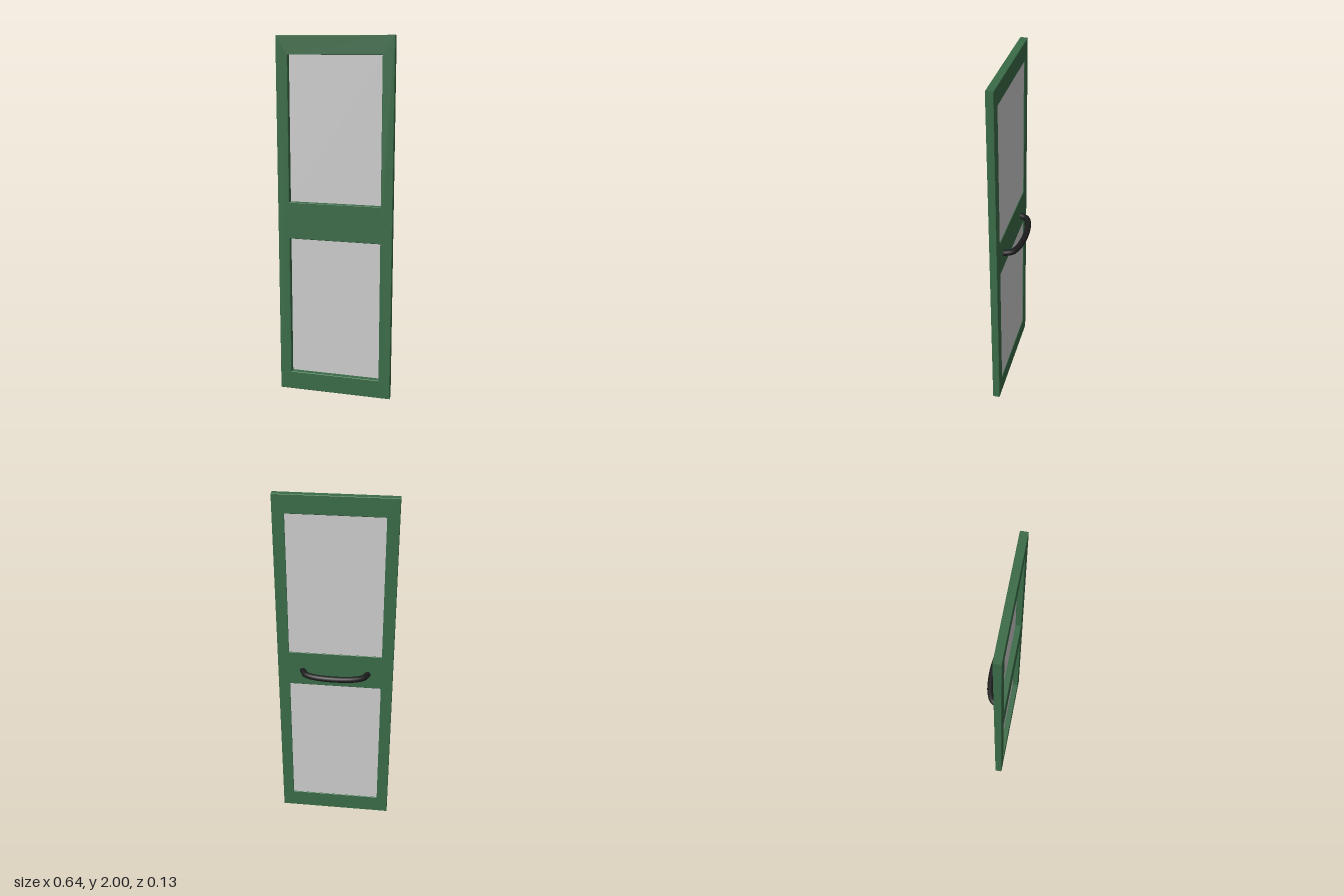
import * as THREE from 'three';

// Closed rectangle between two corners
function rect(PathType, x0, y0, x1, y1) {
  const p = new PathType();
  p.moveTo(x0, y0);
  p.lineTo(x1, y0);
  p.lineTo(x1, y1);
  p.lineTo(x0, y1);
  p.closePath();
  return p;
}

export function createModel() {
  const group = new THREE.Group();
  const green = new THREE.MeshStandardMaterial({ color: 0x3a6b47 });
  const grey = new THREE.MeshStandardMaterial({ color: 0xcccccc });
  const black = new THREE.MeshStandardMaterial({ color: 0x1c1c1c });

  const add = (name, geometry, material) => {
    const mesh = new THREE.Mesh(geometry, material);
    mesh.name = name;
    group.add(mesh);
    return mesh;
  };

  // Door frame with two openings and a fine edge bevel
  const b = 0.002;
  const openings = [
    { name: 'lowerPanel', y0: 0.105, y1: 0.9 },
    { name: 'upperPanel', y0: 1.105, y1: 1.9 },
  ];
  const halfOpening = 0.257;
  const outline = rect(THREE.Shape, -0.321 + b, b, 0.321 - b, 2 - b);
  for (const o of openings) {
    outline.holes.push(rect(THREE.Path, -halfOpening - b, o.y0 - b, halfOpening + b, o.y1 + b));
  }
  const frame = new THREE.ExtrudeGeometry(outline, {
    depth: 0.04 - 2 * b, bevelEnabled: true, bevelSize: b, bevelThickness: b, bevelSegments: 1,
  });
  frame.translate(0, 0, 0.025 + b);
  add('doorFrame', frame, green);

  // Thin panels set close to the back of the frame
  for (const o of openings) {
    const panel = add(o.name, new THREE.BoxGeometry(2 * halfOpening, o.y1 - o.y0, 0.004), grey);
    panel.position.set(0, (o.y0 + o.y1) / 2, 0.031);
  }

  // Bowed pull handle on the back, its ends sunk into the middle rail
  const half = [[0.184, 0.034], [0.179, 0.022], [0.163, -0.012], [0.145, -0.025], [0.105, -0.039], [0.052, -0.0465]];
  const points = [
    ...half.map(([x, z]) => new THREE.Vector3(-x, 0.99, z)),
    new THREE.Vector3(0, 0.99, -0.049),
    ...half.slice().reverse().map(([x, z]) => new THREE.Vector3(x, 0.99, z)),
  ];
  add('handle', new THREE.TubeGeometry(new THREE.CatmullRomCurve3(points), 48, 0.0168, 16), black);

  return group;
}
